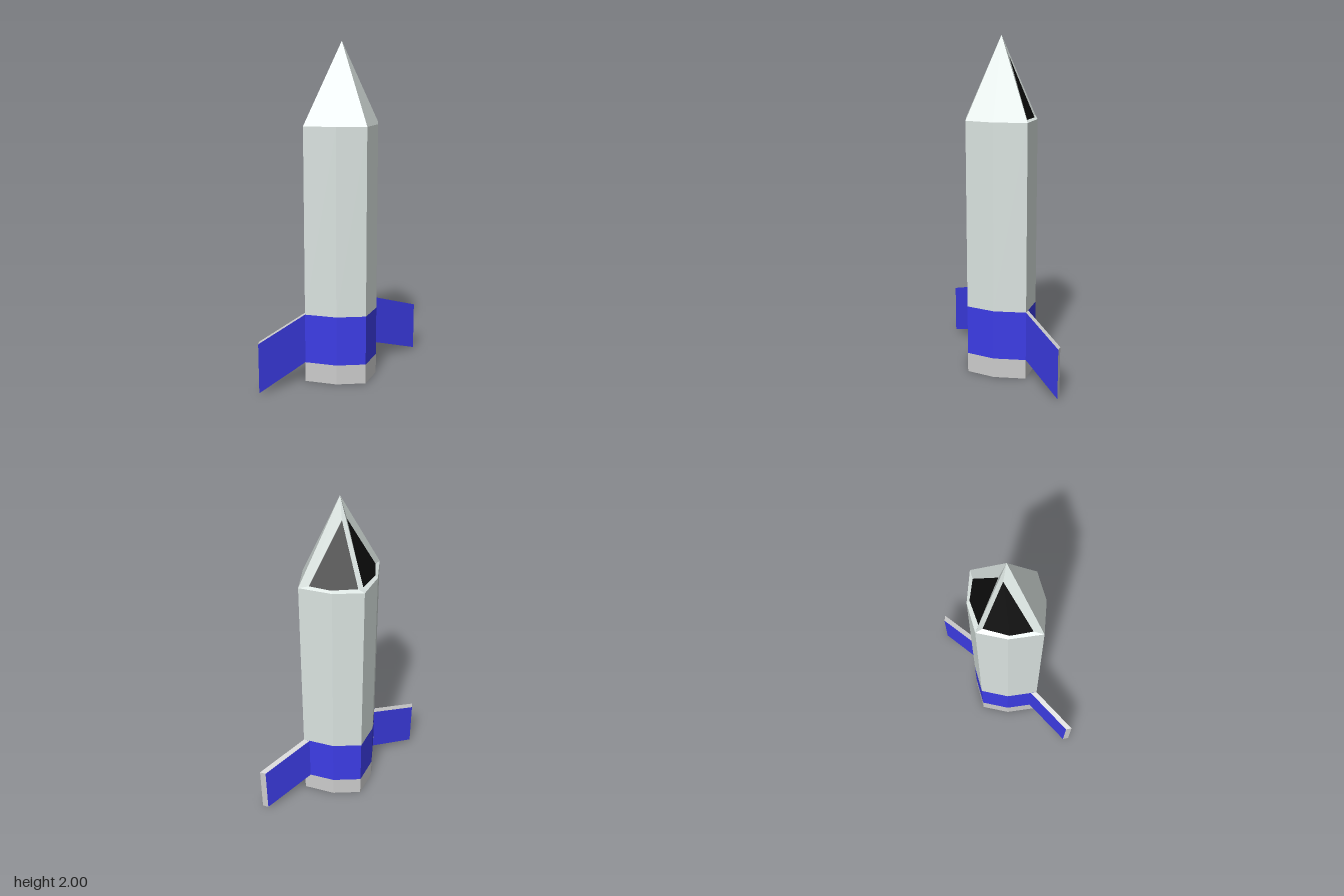
import * as THREE from 'three';

const hull = new THREE.MeshStandardMaterial({ color: 0xdae3e0 });
const grey = new THREE.MeshStandardMaterial({ color: 0xcccccc });
const blue = new THREE.MeshStandardMaterial({ color: 0x3c3ce6 });
const black = new THREE.MeshStandardMaterial({ color: 0x0d0d0d });

const SHOULDER = 1.53;
const APEX = [0, 2, 0];
// Eight-sided plan of the body, [x, z], counter-clockwise from the front
const PLAN = [[0, 0.27], [0.15, 0.15], [0.24, 0], [0.15, -0.15],
  [0, -0.27], [-0.15, -0.15], [-0.24, 0], [-0.15, 0.15]];
const at = (i, y) => [PLAN[i % 8][0], y, PLAN[i % 8][1]];

// Mesh of polygons, each fan-triangulated and shaded with one average normal
function polyMesh(name, material, polygons) {
  const position = [], normal = [];
  for (const polygon of polygons) {
    const pts = polygon.map(p => new THREE.Vector3(...p));
    const n = new THREE.Vector3();
    pts.forEach((p, i) => n.add(p.clone().cross(pts[(i + 1) % pts.length])));
    n.normalize();
    for (let i = 1; i < pts.length - 1; i++) {
      for (const p of [pts[0], pts[i], pts[i + 1]]) {
        position.push(p.x, p.y, p.z);
        normal.push(n.x, n.y, n.z);
      }
    }
  }
  const geometry = new THREE.BufferGeometry();
  geometry.setAttribute('position', new THREE.Float32BufferAttribute(position, 3));
  geometry.setAttribute('normal', new THREE.Float32BufferAttribute(normal, 3));
  const mesh = new THREE.Mesh(geometry, material);
  mesh.name = name;
  return mesh;
}

// Quads joining two loops with the same number of points
const bridge = (a, b) => a.map((p, i) => {
  const j = (i + 1) % a.length;
  return [p, a[j], b[j], b[i]];
});

const ring = y => PLAN.map((_, i) => at(i, y));

function makeFin(name, side) {
  // Side profile [distance out, y]; the outer face lies on x = 0
  const profile = [[0.27, 0.12], [0.59, 0.01], [0.59, 0.31], [0.27, 0.42]];
  const left = profile.map(([z, y]) => [0, y, z * side]);
  const right = profile.map(([z, y]) => [-0.03, y, (z - 0.022) * side]);
  const orient = polys => side > 0 ? polys.map(p => [...p].reverse()) : polys;
  const fin = new THREE.Group();
  fin.name = name;
  fin.add(polyMesh('finSides', blue, orient([left, [...right].reverse()])));
  fin.add(polyMesh('finEdges', grey, orient(bridge(right, left))));
  return fin;
}

export function createModel() {
  const model = new THREE.Group();
  model.name = 'rocket';

  // Body bands
  model.add(polyMesh('base', grey, [...bridge(ring(0), ring(0.12)), ring(0).reverse()]));
  model.add(polyMesh('finBand', blue, bridge(ring(0.12), ring(0.42))));
  model.add(polyMesh('body', hull, bridge(ring(0.42), ring(SHOULDER))));

  // Nose: two closed quarters and two with sunken windows
  const quarter = q => [APEX, at(2 * q, SHOULDER), at(2 * q + 1, SHOULDER), at(2 * q + 2, SHOULDER)];
  model.add(polyMesh('noseShell', hull, [quarter(0), quarter(1)]));
  for (const [q, side, label] of [[2, -1, 'back'], [3, 1, 'front']]) {
    const base = [[-0.03, 1.54, 0.22 * side], [-0.132, 1.54, 0.145 * side], [-0.2, 1.54, 0.015 * side]];
    if (side > 0) base.reverse();
    const pane = [[-0.042, 1.88, 0.016 * side], ...base];
    model.add(polyMesh(label + 'WindowFrame', hull, bridge(quarter(q), pane)));
    model.add(polyMesh(label + 'Window', black, [pane]));
  }

  // Fins
  model.add(makeFin('frontFin', 1), makeFin('backFin', -1));
  return model;
}
